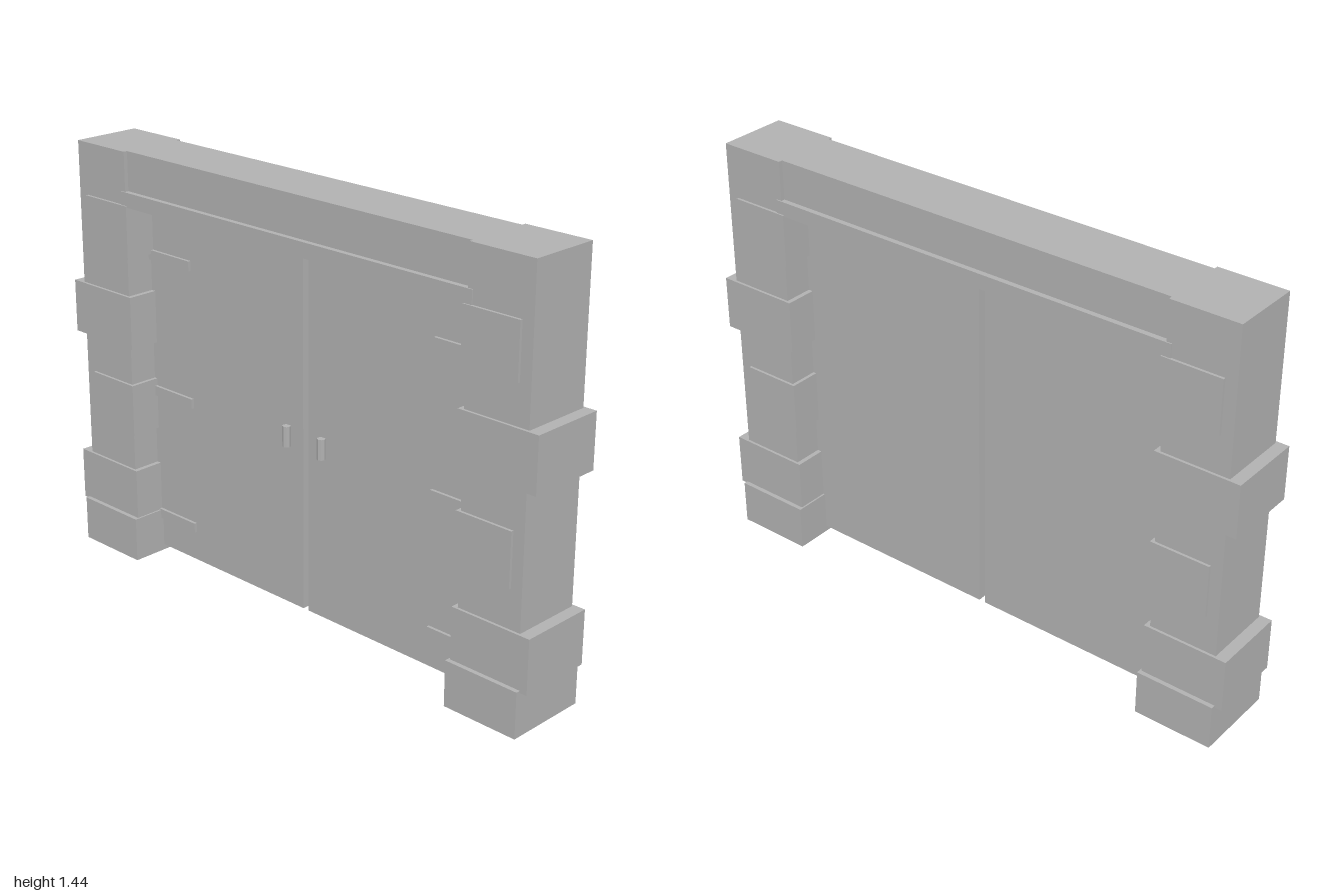
import * as THREE from 'three';

export function createModel() {
  const model = new THREE.Group();
  model.name = 'gate';
  const stone = new THREE.MeshStandardMaterial({ color: 0xb2b2b2 });
  stone.name = 'grey';

  // box given by its min and max on each axis
  function box(name, [x0, x1], [y0, y1], [z0, z1], parent = model) {
    const mesh = new THREE.Mesh(new THREE.BoxGeometry(x1 - x0, y1 - y0, z1 - z0), stone);
    mesh.position.set((x0 + x1) / 2, (y0 + y1) / 2, (z0 + z1) / 2);
    mesh.name = name;
    parent.add(mesh);
    return mesh;
  }

  // hollow plinth, open underneath
  const rect = (Type, x0, x1, z) => {
    const s = new Type();
    s.moveTo(x0, -z).lineTo(x1, -z).lineTo(x1, z).lineTo(x0, z).closePath();
    return s;
  };
  const plinthShape = rect(THREE.Shape, 0.705, 0.975, 0.145);
  plinthShape.holes.push(rect(THREE.Path, 0.73, 0.955, 0.12));
  const plinthGeo = new THREE.ExtrudeGeometry(plinthShape, { depth: 0.155, bevelEnabled: false });
  plinthGeo.rotateX(-Math.PI / 2);

  for (const side of [1, -1]) {
    const label = side > 0 ? 'left' : 'right';
    const half = new THREE.Group();
    half.name = label + 'Side';
    model.add(half);
    const span = (a, b) => (side > 0 ? [a, b] : [-b, -a]);

    // pillar with plinth and corner stones
    box('pillar', span(0.727, 0.96), [0.15, 1.443], [-0.121, 0.121], half);
    const plinth = new THREE.Mesh(plinthGeo, stone);
    plinth.name = 'plinth';
    plinth.position.x = side > 0 ? 0 : -1.68;
    half.add(plinth);
    for (const y of [0.148, 0.772])
      box('wideStone', span(0.711, 1), [y, y + 0.182], [-0.13, 0.13], half);
    for (const y of [0.46, 1.084])
      box('narrowStone', span(0.715, 0.92), [y, y + 0.181], [-0.13, 0.13], half);

    // door leaf with hinges and handle on the front
    box('door', span(0.012, 0.74), [0.02, 1.27], [-0.02, 0.02], half);
    for (const y of [0.125, 0.582, 1.063])
      box('hinge', span(0.53, 0.74), [y, y + 0.034], [0.015, 0.03], half);
    const handle = new THREE.Mesh(new THREE.CylinderGeometry(0.014, 0.014, 0.07, 8).toNonIndexed(), stone);
    handle.geometry.computeVertexNormals();
    handle.name = 'handle';
    handle.position.set(side * 0.077, 0.615, 0.03);
    half.add(handle);
  }

  // beam over the doors and its projecting ledge
  box('lintel', [-0.74, 0.74], [1.3, 1.443], [-0.107, 0.107]);
  box('ledge', [-0.745, 0.745], [1.26, 1.31], [-0.125, 0.125]);

  return model;
}
